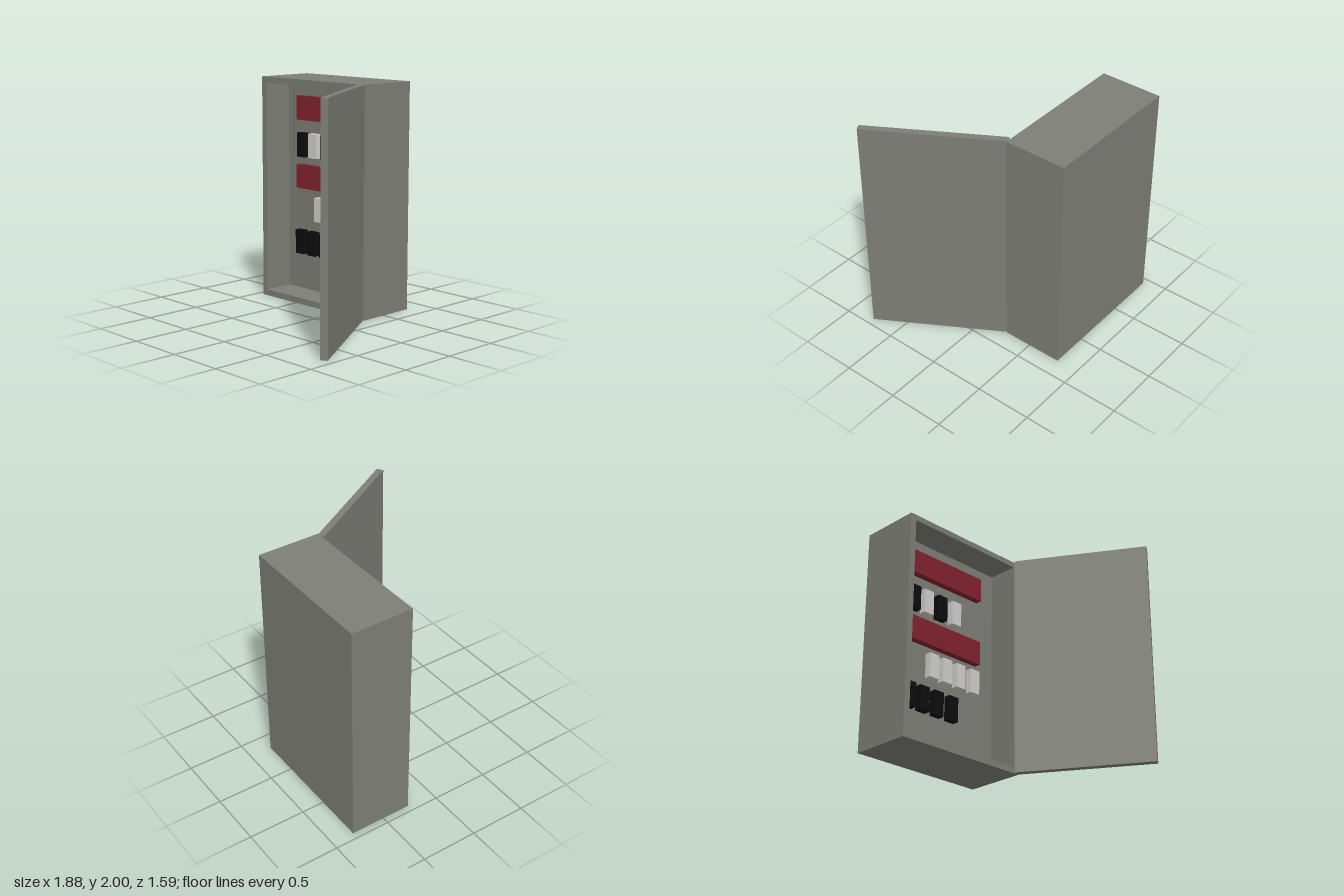
import * as THREE from 'three';

const material = (name, color) => {
  const m = new THREE.MeshStandardMaterial({ color });
  m.name = name;
  return m;
};

export function createModel() {
  const model = new THREE.Group();
  model.name = 'electricalCabinet';
  const grey = material('cabinet grey', 0x7d7e76);
  const red = material('panel red', 0x82222e);
  const white = material('breaker white', 0xd0cfcc);
  const black = material('breaker black', 0x0c0c0c);

  const LEFT = -0.94, RIGHT = 0.335, BACK = -0.8, FRONT = -0.25, PANEL = -0.525;

  // Box spanning from the minimum corner to the maximum corner
  function block(name, mat, x0, x1, y0, y1, z0, z1) {
    const mesh = new THREE.Mesh(new THREE.BoxGeometry(x1 - x0, y1 - y0, z1 - z0), mat);
    mesh.position.set((x0 + x1) / 2, (y0 + y1) / 2, (z0 + z1) / 2);
    mesh.name = name;
    model.add(mesh);
    return mesh;
  }

  const rectangle = (PathType, x0, x1, y0, y1) => new PathType([
    new THREE.Vector2(x0, y0), new THREE.Vector2(x1, y0),
    new THREE.Vector2(x1, y1), new THREE.Vector2(x0, y1),
  ]);

  // Cabinet: solid back with a hollow surround in front
  block('cabinetBack', grey, LEFT, RIGHT, 0, 2, BACK, PANEL);
  const outline = rectangle(THREE.Shape, LEFT, RIGHT, 0, 2);
  outline.holes.push(rectangle(THREE.Path, LEFT + 0.055, RIGHT - 0.055, 0.055, 1.95));
  const surround = new THREE.Mesh(
    new THREE.ExtrudeGeometry(outline, { depth: FRONT - PANEL, bevelEnabled: false }), grey);
  surround.position.z = PANEL;
  surround.name = 'cabinetSurround';
  model.add(surround);

  // Door, swung open around the left front edge
  const door = new THREE.Mesh(new THREE.BoxGeometry(1.19, 2, 0.06), grey);
  door.position.set(0.604, 1, 0.265);
  door.rotation.y = -Math.atan2(1.02, 0.615);
  door.name = 'door';
  model.add(door);

  // Red panels
  block('upperPanel', red, -0.72, 0.085, 1.615, 1.83, PANEL, -0.465);
  block('lowerPanel', red, -0.725, 0.08, 0.995, 1.21, PANEL, -0.465);

  // Rows of breakers: bottom height, then centre and colour of each
  const rows = [
    [1.28, [[-0.668, black], [-0.522, white], [-0.365, black], [-0.202, white]]],
    [0.71, [[-0.442, white], [-0.294, white], [-0.138, white], [0.026, white]]],
    [0.39, [[-0.685, black], [-0.537, black], [-0.381, black], [-0.217, black]]],
  ];
  for (const [y, breakers] of rows) {
    for (const [x, mat] of breakers) {
      block('breaker', mat, x - 0.051, x + 0.051, y, y + 0.218, PANEL, -0.465);
    }
  }

  return model;
}
